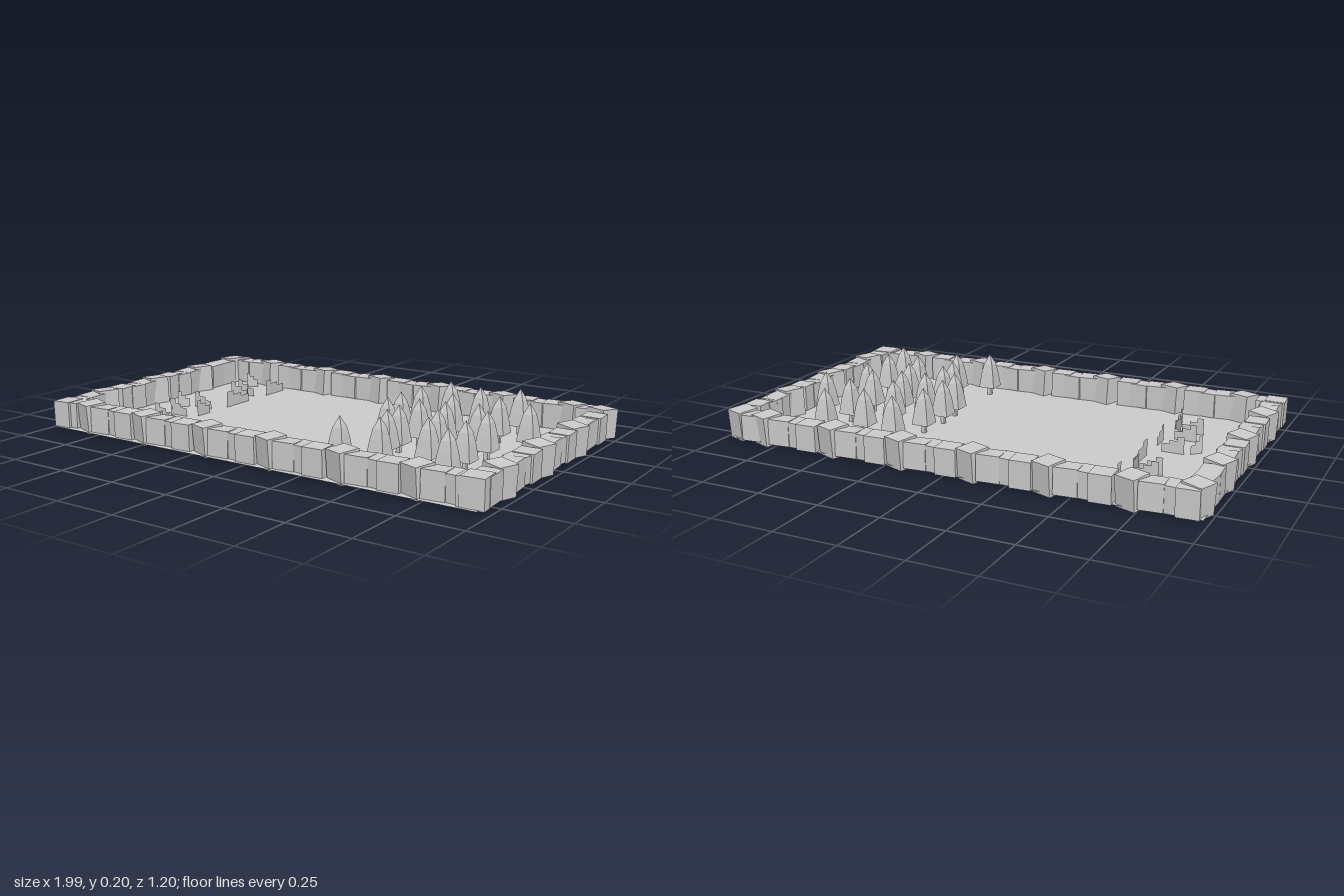
import * as THREE from 'three';

const mat = new THREE.MeshStandardMaterial({ color: 0xcccccc, flatShading: true, side: THREE.DoubleSide });

function mesh(name, geometry, parent, x = 0, y = 0, z = 0) {
  const m = new THREE.Mesh(geometry, mat);
  m.name = name;
  m.position.set(x, y, z);
  parent.add(m);
  return m;
}

// Stone block, slightly turned and leaning
function block(parent, x, z, w, h, d, turn, lean = 0) {
  const b = mesh('wallBlock', new THREE.BoxGeometry(w, h, d), parent, x, 0.064, z);
  b.rotation.set(lean, turn, 0, 'YXZ');
  return b;
}

// Repeating run of stones: one crooked block followed by straighter ones
function wallSection(parent) {
  const g = new THREE.Group();
  g.name = 'wallSection';
  block(g, 0, 0, 0.085, 0.118, 0.085, -0.36, 0.07);
  block(g, 0.075, 0.003, 0.09, 0.103, 0.075, 0.08, -0.02);
  block(g, 0.145, -0.003, 0.075, 0.1, 0.078, -0.1, 0.02);
  block(g, 0.205, 0.004, 0.085, 0.106, 0.08, 0.05, 0.02);
  parent.add(g);
  return g;
}

function wall(name, parent, angle, positions) {
  const g = new THREE.Group();
  g.name = name;
  for (const [x, z] of positions) {
    const s = wallSection(g);
    s.position.set(x, 0, z);
    s.rotation.y = angle;
  }
  parent.add(g);
  return g;
}

// Four-sided fir with a short trunk
const firProfile = [[0, 0.055], [0.036, 0.05], [0.027, 0.115], [0.019, 0.155], [0, 0.198]]
  .map(([r, y]) => new THREE.Vector2(r * Math.SQRT2, y));
const firGeometry = new THREE.LatheGeometry(firProfile, 4, Math.PI / 4);
const trunkGeometry = new THREE.BoxGeometry(0.016, 0.045, 0.016);

function tree(parent, x, z) {
  const g = new THREE.Group();
  g.name = 'tree';
  mesh('foliage', firGeometry, g);
  mesh('trunk', trunkGeometry, g, 0, 0.034, 0);
  g.position.set(x, 0, z);
  parent.add(g);
}

// Thin ruined fence with a stepped top
function fenceGeometry(length) {
  const l = length / 2;
  const s = new THREE.Shape([[-l, 0], [l, 0], [l, 0.035], [l * 0.3, 0.035], [l * 0.3, 0.05],
    [-l * 0.4, 0.05], [-l * 0.4, 0.068], [-l, 0.068]].map(([x, y]) => new THREE.Vector2(x, y)));
  return new THREE.ShapeGeometry(s);
}

export function createModel() {
  const model = new THREE.Group();
  model.name = 'walledYard';

  // Flat ground
  const ground = mesh('ground', new THREE.PlaneGeometry(1.94, 1.18), model, -0.01, 0.012, 0.01);
  ground.rotation.x = -Math.PI / 2;

  // Boundary walls; the front keeps a narrow gap in its middle
  const front = wall('frontWall', model, 0,
    [-0.81, -0.51, -0.2, 0.1, 0.41, 0.71].map(x => [x, 0.54]));
  block(front, -0.92, 0.535, 0.1, 0.103, 0.08, 0.03);
  wall('backWall', model, Math.PI,
    [-0.72, -0.41, -0.11, 0.19, 0.49, 0.8].map(x => [x, -0.545]));
  wall('rightWall', model, -Math.PI / 2, [-0.27, 0.03, 0.34].map(z => [-0.94, z]));
  wall('leftWall', model, Math.PI / 2, [-0.22, 0.085, 0.39].map(z => [0.935, z]));

  // Corner stones
  const corners = new THREE.Group();
  corners.name = 'cornerStones';
  model.add(corners);
  block(corners, -0.94, -0.52, 0.085, 0.118, 0.085, -0.36 - Math.PI / 2, 0.07);
  block(corners, 0.93, -0.53, 0.085, 0.118, 0.085, -0.36 + Math.PI, 0.07);
  block(corners, 0.86, -0.545, 0.08, 0.104, 0.08, 0.08);
  block(corners, -0.94, -0.36, 0.08, 0.103, 0.09, 0.06);
  block(corners, -0.94, -0.44, 0.08, 0.103, 0.09, -0.06);
  block(corners, 0.935, -0.32, 0.08, 0.103, 0.09, 0.05);
  block(corners, 0.935, 0.49, 0.08, 0.104, 0.1, 0.04);
  block(corners, 0.93, 0.54, 0.09, 0.11, 0.09, 0.08);

  // Grove of firs
  const grove = new THREE.Group();
  grove.name = 'grove';
  model.add(grove);
  for (const [x, z] of [[0.36, -0.33], [0.51, -0.3], [0.655, -0.36], [0.3, -0.19], [0.47, -0.14],
    [0.645, -0.195], [0.79, -0.155], [0.29, -0.05], [0.295, 0.06], [0.41, 0.015], [0.515, 0],
    [0.635, -0.04], [0.715, 0.045], [0.395, 0.14], [0.55, 0.12], [0.395, 0.225], [0.58, 0.245],
    [0.715, 0.215], [0.435, 0.34], [0.305, 0.405], [0.715, 0.345]]) tree(grove, x, z);

  // Ruined fences, given as x, z, length and turn
  const fences = new THREE.Group();
  fences.name = 'ruinedFences';
  model.add(fences);
  const q = Math.PI / 2;
  for (const [x, z, length, turn] of [
    [-0.68, -0.29, 0.09, 0], [-0.68, -0.24, 0.09, 0], [-0.68, 0.01, 0.09, 0],
    [-0.68, 0.17, 0.09, 0], [-0.68, 0.265, 0.09, 0],
    [-0.6, -0.4, 0.13, q], [-0.6, -0.13, 0.15, q], [-0.6, 0.1, 0.08, q], [-0.6, 0.335, 0.1, q],
    [-0.765, -0.445, 0.05, q / 2], [-0.765, 0.04, 0.05, q / 2],
    [-0.615, -0.22, 0.05, -q / 2], [-0.615, 0.28, 0.05, -q / 2]]) {
    mesh('fencePanel', fenceGeometry(length), fences, x, 0.012, z).rotation.y = turn;
  }
  return model;
}
